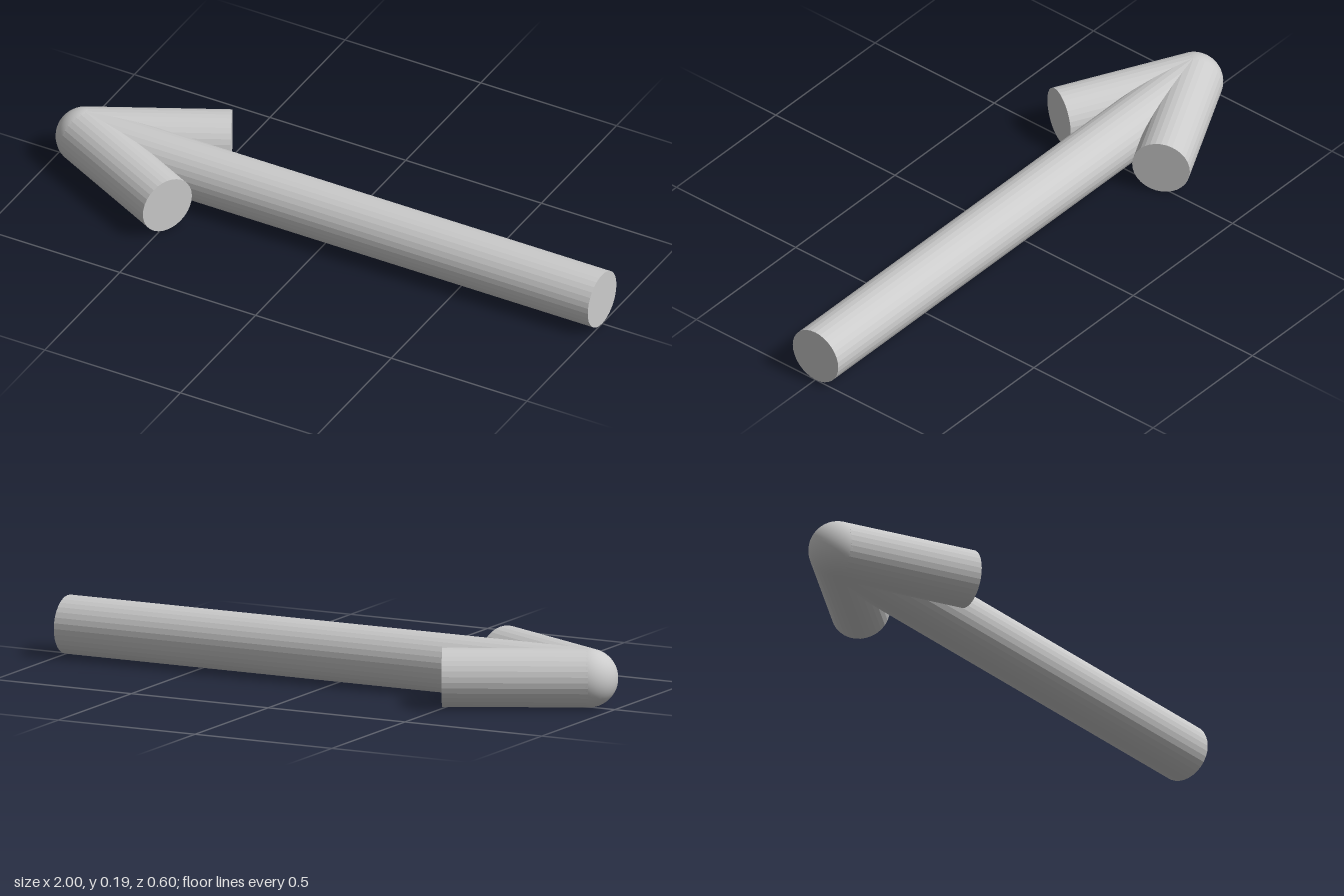
import * as THREE from 'three';

const R = 0.0955;       // shared rod radius
const TIP_X = -1 + R;   // centre of the rounded tip
const SIDES = 32;

export function createModel() {
  const group = new THREE.Group();
  const faceted = new THREE.MeshStandardMaterial({ color: 0xcccccc, flatShading: true });
  const smooth = new THREE.MeshStandardMaterial({ color: 0xcccccc });
  const tipPoint = new THREE.Vector3(TIP_X, R, 0);

  // Rod with a flat cap, running from the tip centre to an end point
  function addRod(name, x, z) {
    const dir = new THREE.Vector3(x, R, z).sub(tipPoint);
    const length = dir.length();
    const geometry = new THREE.CylinderGeometry(R, R, length, SIDES);
    geometry.translate(0, length / 2, 0);
    geometry.rotateZ(-Math.PI / 2);
    const rod = new THREE.Mesh(geometry, faceted);
    rod.name = name;
    rod.position.copy(tipPoint);
    rod.rotation.y = Math.atan2(-dir.z, dir.x);
    group.add(rod);
  }

  // Long shaft and the two swept-back barbs of the arrowhead
  addRod('shaft', 1, 0);
  addRod('frontBarb', -0.483, 0.214);
  addRod('backBarb', -0.483, -0.214);

  // Rounded tip joining the rods
  const tip = new THREE.Mesh(new THREE.SphereGeometry(R, SIDES, 24), smooth);
  tip.name = 'tip';
  tip.position.copy(tipPoint);
  group.add(tip);

  return group;
}
